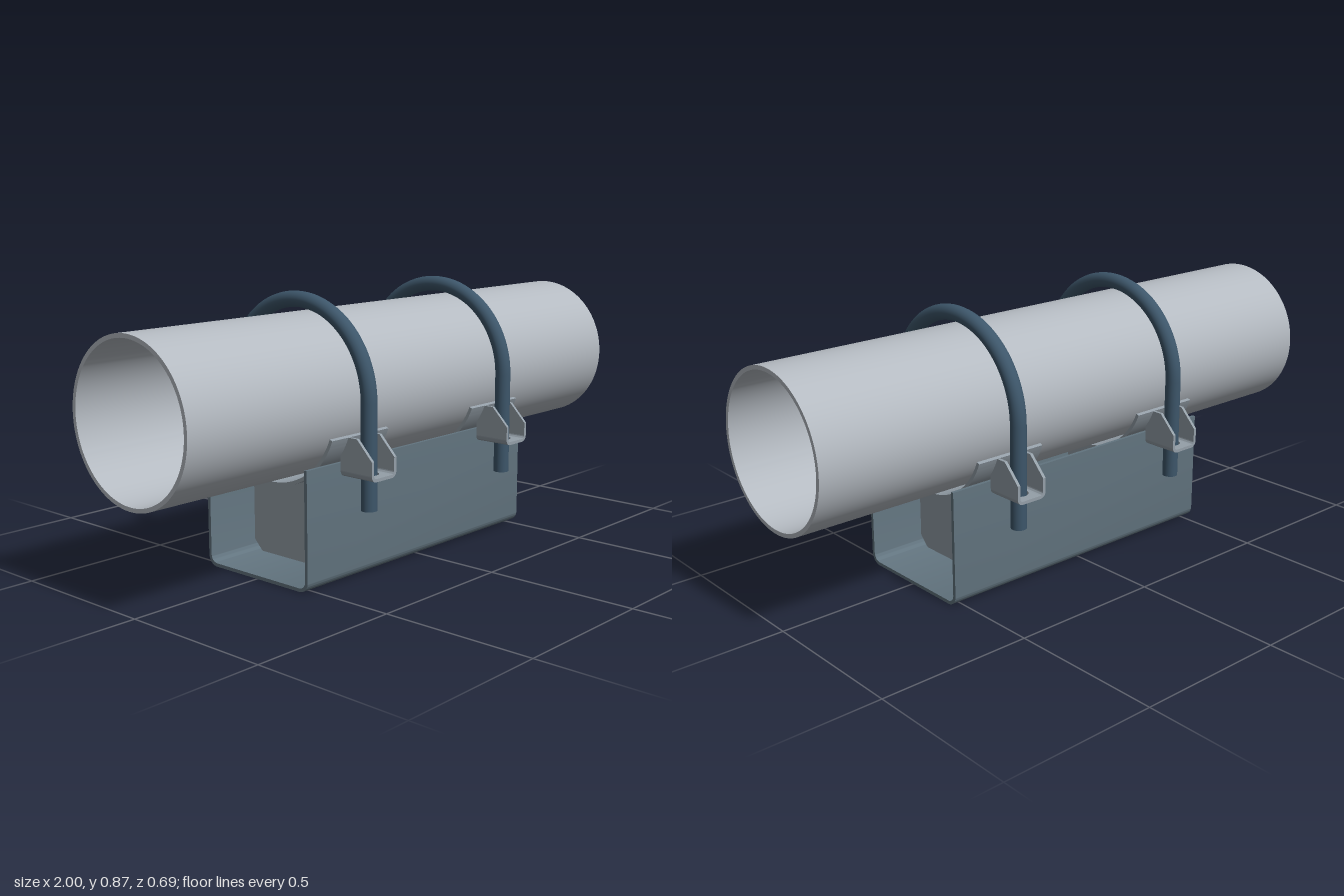
import * as THREE from 'three';
import { toCreasedNormals } from 'three/addons/utils/BufferGeometryUtils.js';

const AXIS_Y = 0.558;   // height of the pipe axis
const SADDLE_R = 0.274; // outer radius of the saddle plates
const BOLT_R = 0.287;   // centreline radius of the U-bolts

const mat = (color) => new THREE.MeshStandardMaterial({ color, side: THREE.DoubleSide });
const pipeMat = mat(0xb4bac1);
const plateMat = mat(0x949fa8);
const channelMat = mat(0x62747f);
const boltMat = mat(0x3d566a);

function addMesh(parent, name, geometry, material) {
  const mesh = new THREE.Mesh(geometry, material);
  mesh.name = name;
  parent.add(mesh);
  return mesh;
}

const extrude = (shape, depth, curveSegments = 48) =>
  new THREE.ExtrudeGeometry(shape, { depth, curveSegments, bevelEnabled: false });

// Extrude a (z, y) profile along x, centred on x = 0
function alongX(shape, width, curveSegments) {
  const geo = extrude(shape, width, curveSegments);
  geo.translate(0, 0, -width / 2).rotateY(-Math.PI / 2);
  return toCreasedNormals(geo, 0.5);
}

function ringSector(cx, cy, outer, inner, a0, a1) {
  const s = new THREE.Shape();
  s.absarc(cx, cy, outer, a0, a1, false);
  s.absarc(cx, cy, inner, a1, a0, true);
  s.closePath();
  return s;
}

function pipeShape() {
  const s = new THREE.Shape();
  s.absarc(0, AXIS_Y, 0.248, 0, Math.PI * 2, false);
  const hole = new THREE.Path();
  hole.absarc(0, AXIS_Y, 0.235, 0, Math.PI * 2, true);
  s.holes.push(hole);
  return s;
}

// Folded sheet: open-topped U with rounded bottom bends
function channelShape() {
  const w = 0.218, t = 0.011, r = 0.036, h = 0.375, c = w - r;
  const s = new THREE.Shape();
  s.moveTo(-w, h);
  s.lineTo(-w, r);
  s.absarc(-c, r, r, Math.PI, Math.PI * 1.5, false);
  s.absarc(c, r, r, Math.PI * 1.5, Math.PI * 2, false);
  s.lineTo(w, h);
  s.lineTo(w - t, h);
  s.absarc(c, r, r - t, 0, -Math.PI / 2, true);
  s.absarc(-c, r, r - t, -Math.PI / 2, -Math.PI, true);
  s.lineTo(t - w, h);
  s.closePath();
  return s;
}

// Upright web with clipped lower corners and a curved seat on top
function gussetShape() {
  const w = 0.206, b = 0.011;
  const a = Math.acos(w / SADDLE_R);
  const s = new THREE.Shape();
  s.moveTo(-0.172, b);
  s.lineTo(0.172, b);
  s.lineTo(w, 0.045);
  s.absarc(0, AXIS_Y, SADDLE_R, -a, a - Math.PI, true);
  s.lineTo(-w, 0.045);
  s.closePath();
  return s;
}

// Folded bolt lug: two cheeks, two bends and a drilled floor
function makeLug() {
  const lug = new THREE.Group();
  const half = 0.055, t = 0.01, r = 0.02, y0 = 0.333, z0 = 0.222, z1 = 0.347;
  const cheek = new THREE.Shape();
  cheek.moveTo(z0, y0 + r);
  cheek.lineTo(z1, y0 + r);
  cheek.lineTo(z1, 0.396);
  cheek.lineTo(0.288, 0.457);
  cheek.absarc(0, AXIS_Y, SADDLE_R, -0.377, -Math.acos(z0 / SADDLE_R), true);
  cheek.closePath();

  for (const side of [-1, 1]) {
    addMesh(lug, 'lugCheek', alongX(cheek, t, 12), plateMat).position.x = side * (half - t / 2);
    const a0 = side > 0 ? Math.PI * 1.5 : Math.PI;
    const bend = ringSector(side * (half - r), y0 + r, r, r - t, a0, a0 + Math.PI / 2);
    const geo = toCreasedNormals(extrude(bend, z1 - z0, 8), 0.5);
    addMesh(lug, 'lugBend', geo, plateMat).position.z = z0;
  }

  const f = half - r;
  const floor = new THREE.Shape([
    new THREE.Vector2(-f, -z1), new THREE.Vector2(f, -z1),
    new THREE.Vector2(f, -z0), new THREE.Vector2(-f, -z0),
  ]);
  const hole = new THREE.Path();
  hole.absarc(0, -BOLT_R, 0.03, 0, Math.PI * 2, true);
  floor.holes.push(hole);
  const geo = toCreasedNormals(extrude(floor, t, 24).rotateX(-Math.PI / 2), 0.5);
  addMesh(lug, 'lugFloor', geo, plateMat).position.y = y0;
  return lug;
}

function makeUBolt() {
  const bolt = new THREE.Group();
  bolt.name = 'uBolt';
  const r = 0.025, bottom = 0.23, len = AXIS_Y - bottom;
  const bow = new THREE.TorusGeometry(BOLT_R, r, 20, 64, Math.PI).rotateY(Math.PI / 2);
  addMesh(bolt, 'boltBow', bow, boltMat).position.y = AXIS_Y;
  for (const side of [-1, 1]) {
    const leg = addMesh(bolt, 'boltLeg', new THREE.CylinderGeometry(r, r, len, 20), boltMat);
    leg.position.set(0, bottom + len / 2, side * BOLT_R);
  }
  return bolt;
}

export function createModel() {
  const model = new THREE.Group();
  model.name = 'pipeSupport';
  addMesh(model, 'pipe', alongX(pipeShape(), 2, 72), pipeMat);
  addMesh(model, 'baseChannel', alongX(channelShape(), 1.06, 10), channelMat);

  // Two identical clamp stations
  const saddle = ringSector(0, AXIS_Y, SADDLE_R, 0.263, Math.PI + 0.375, Math.PI * 2 - 0.375);
  for (const x of [-0.335, 0.335]) {
    const clamp = new THREE.Group();
    clamp.name = 'clamp';
    clamp.position.x = x;
    addMesh(clamp, 'saddlePlate', alongX(saddle, 0.25), plateMat);
    addMesh(clamp, 'gusset', alongX(gussetShape(), 0.014), plateMat);
    clamp.add(makeUBolt());
    for (const turn of [0, Math.PI]) {
      const lug = makeLug();
      lug.name = turn ? 'backLug' : 'frontLug';
      lug.rotation.y = turn;
      clamp.add(lug);
    }
    model.add(clamp);
  }
  return model;
}
